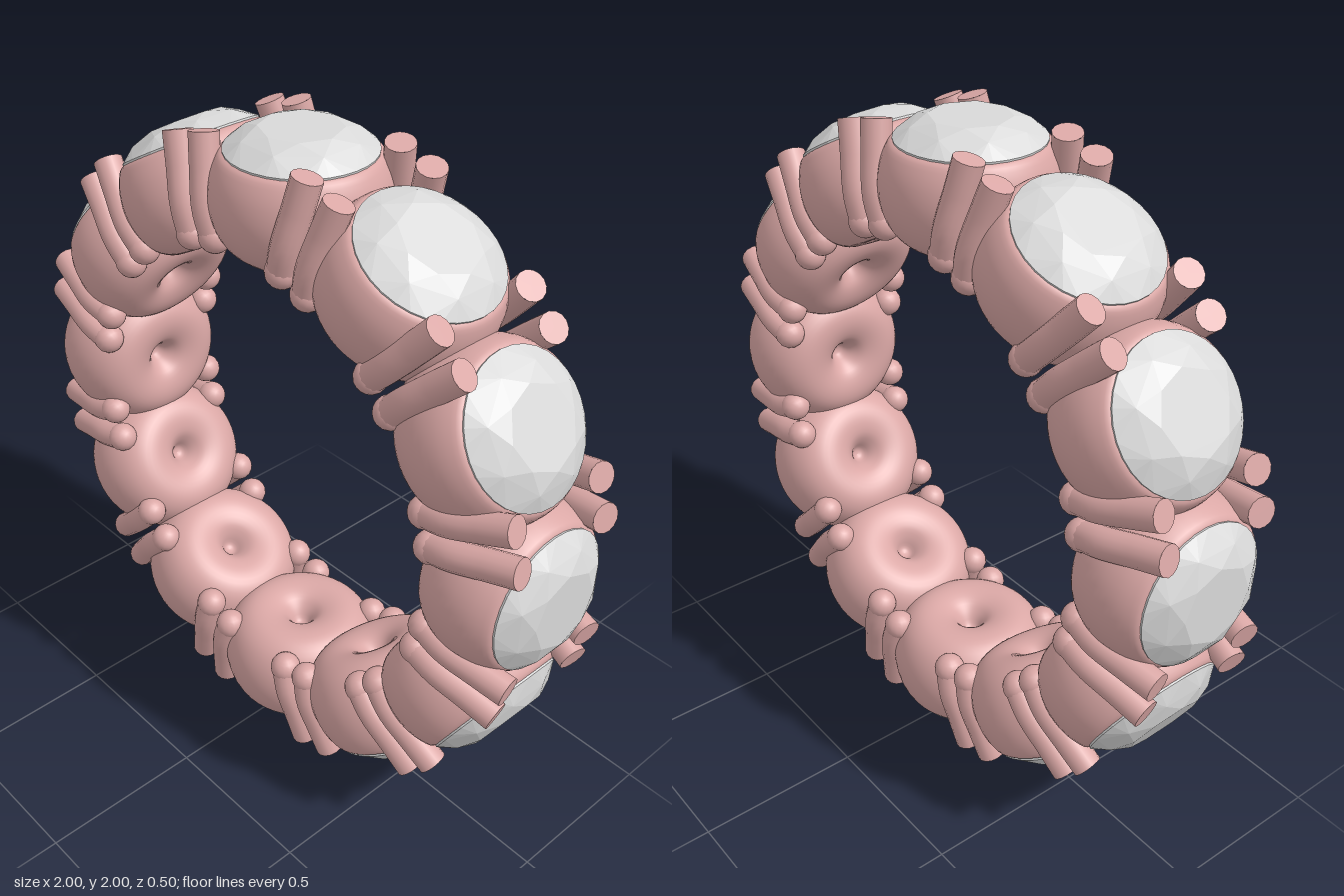
import * as THREE from 'three';
import { mergeGeometries } from 'three/addons/utils/BufferGeometryUtils.js';
import { ConvexGeometry } from 'three/addons/geometries/ConvexGeometry.js';

const COUNT = 12;
const v3 = (x, y, z) => new THREE.Vector3(x, y, z);

// Rounded cup with a dimple on the inner side; y points away from the ring centre
function cupGeometry() {
  const curve = new THREE.SplineCurve([
    [0, 0.735], [0.02, 0.728], [0.04, 0.695], [0.07, 0.665], [0.12, 0.65], [0.17, 0.657],
    [0.213, 0.69], [0.241, 0.745], [0.251, 0.81], [0.243, 0.875], [0.222, 0.925], [0.205, 0.938],
  ].map(([r, h]) => new THREE.Vector2(r, h)));
  const points = curve.getPoints(36);
  points.forEach((p) => { p.x = Math.max(p.x, 0); });
  points.push(new THREE.Vector2(0, 0.94));
  return new THREE.LatheGeometry(points, 48);
}

// Faceted crown: flat table, middle ring and girdle
function gemGeometry() {
  const points = [];
  const ring = (n, r, h, turn) => {
    for (let i = 0; i < n; i++) {
      const a = ((i + turn) / n) * Math.PI * 2;
      points.push(v3(r * Math.cos(a), h, r * Math.sin(a)));
    }
  };
  ring(8, 0.115, 1.0, 0);
  ring(8, 0.165, 0.979, 0.5);
  ring(32, 0.208, 0.943, 0);
  ring(32, 0.206, 0.932, 0);
  return new ConvexGeometry(points);
}

// Bent wire prong with a rounded foot and a flat tip
function prongGeometry(sx, sz) {
  const path = new THREE.CatmullRomCurve3([
    v3(0.135 * sx, 0.7, 0.19 * sz),
    v3(0.158 * sx, 0.78, 0.195 * sz),
    v3(0.181 * sx, 0.88, 0.178 * sz),
    v3(0.2 * sx, 0.972, 0.162 * sz),
  ]);
  const radius = 0.043;
  const tube = new THREE.TubeGeometry(path, 12, radius, 14);
  const foot = new THREE.SphereGeometry(0.047, 16, 12).translate(0.135 * sx, 0.7, 0.19 * sz);
  const tip = new THREE.CircleGeometry(radius, 14);
  tip.applyQuaternion(new THREE.Quaternion().setFromUnitVectors(v3(0, 0, 1), path.getTangent(1)));
  const end = path.getPoint(1);
  tip.translate(end.x, end.y, end.z);
  return mergeGeometries([tube, foot, tip]);
}

export function createModel() {
  const metal = new THREE.MeshStandardMaterial({ color: 0xdba8a6 });
  metal.name = 'rose metal';
  const stone = new THREE.MeshStandardMaterial({ color: 0xd9d9d9 });
  stone.name = 'pale stone';

  const cup = cupGeometry();
  const gem = gemGeometry();
  const prongs = [];
  for (const sx of [-1, 1]) for (const sz of [-1, 1]) prongs.push(prongGeometry(sx, sz));

  const ring = new THREE.Group();
  ring.name = 'ring';
  const add = (parent, geometry, material, name) => {
    const mesh = new THREE.Mesh(geometry, material);
    mesh.name = name;
    parent.add(mesh);
  };

  // Twelve equal settings around the band
  for (let i = 0; i < COUNT; i++) {
    const setting = new THREE.Group();
    setting.name = 'setting';
    add(setting, cup, metal, 'cup');
    add(setting, gem, stone, 'gem');
    prongs.forEach((p) => add(setting, p, metal, 'prong'));
    setting.rotation.z = (i / COUNT) * Math.PI * 2;
    setting.position.y = 1;
    ring.add(setting);
  }
  return ring;
}
